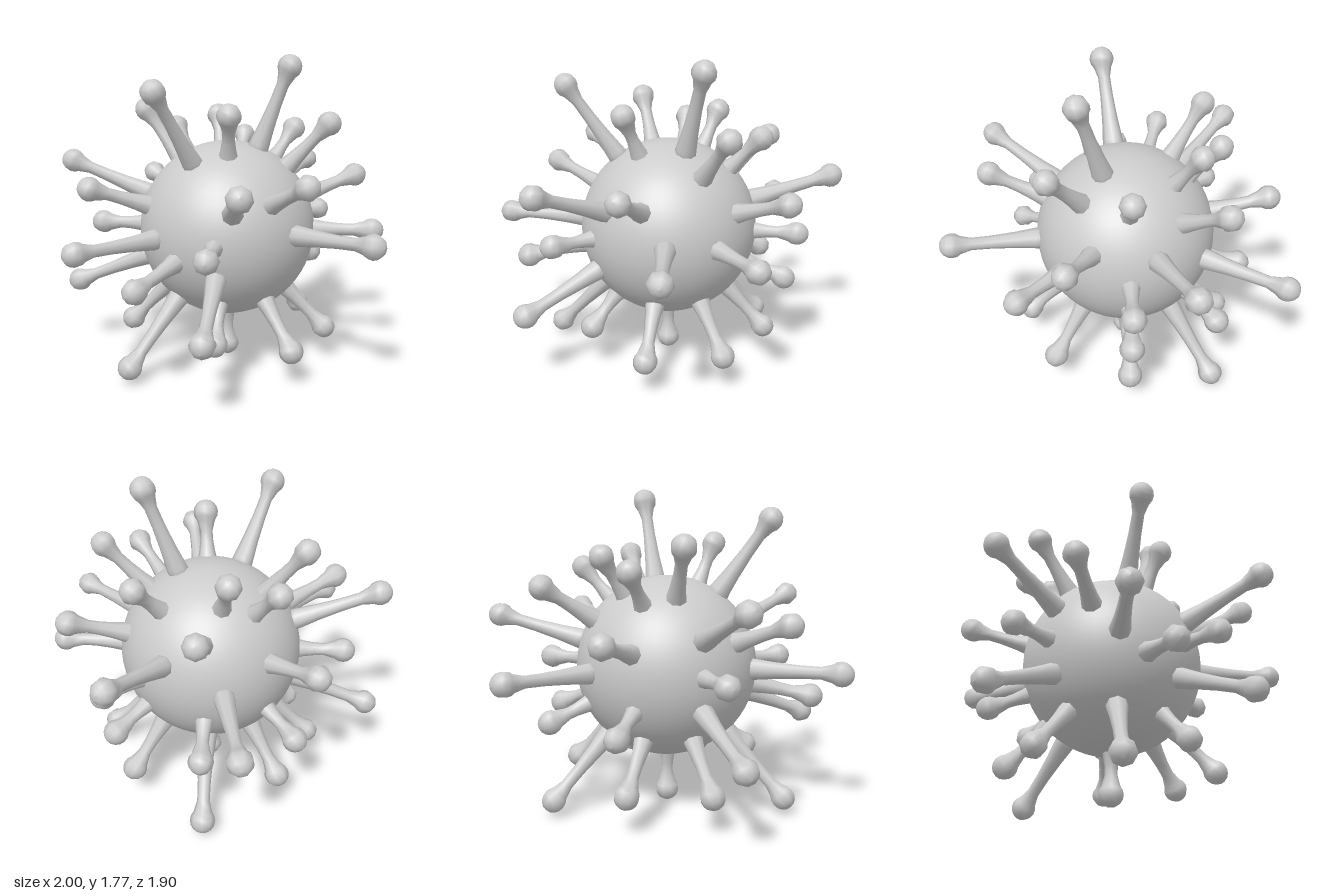
import * as THREE from 'three';

const CENTRE = new THREE.Vector3(0.04, 0.8, -0.07);
const RADIUS = 0.5;

// Bulb centres of the spikes, as offsets from the middle of the body
const TIPS = [
  // upper
  [-0.555, 0.8, 0.11], [0.235, 0.913, 0.255], [-0.26, 0.66, -0.435], [-0.19, 0.67, 0.26],
  [0, 0.535, -0.505], [0.215, 0.605, -0.37], [0.395, 0.605, 0.41], [0.51, 0.535, 0],
  [0.51, 0.45, -0.475], [0.70, 0.275, 0.33], [0.89, 0.275, -0.28], [-0.64, 0.37, -0.635],
  [-0.51, 0.355, 0.75], [-0.75, 0.275, -0.24], [-0.08, 0.355, 0.745], [0.01, 0.21, -0.795],
  // around the middle
  [0.175, 0.06, 0.955], [-0.97, 0.005, 0], [-0.52, 0.005, 0.505], [0.58, 0.005, 0.585],
  [0.73, 0.005, 0], [0.535, 0, -0.81], [-0.515, 0.005, -0.53],
];
const LOWER_TIPS = [
  [-0.77, -0.17, 0.24], [-0.64, -0.355, 0.635], [-0.635, -0.36, -0.635], [0.67, -0.267, 0],
  [0.48, -0.267, -0.47], [0, -0.262, -0.67],
  [-0.675, -0.695, 0], [-0.405, -0.59, -0.405], [-0.36, -0.52, 0.36], [0, -0.585, 0.565],
  [0.395, -0.585, 0.41], [0.565, -0.585, 0], [0.47, -0.695, -0.47], [0, -0.587, -0.56],
  [0, -0.72, 0],
];

// Flared stalk ending in a round bulb, turned around the y axis
function spikeGeometry(length) {
  const start = 0.43, neck = length - 0.105, bulb = 0.068;
  const points = [new THREE.Vector2(0, start)];
  for (const [t, r] of [[0, 0.066], [0.2, 0.057], [0.45, 0.045], [0.75, 0.036], [1, 0.034]]) {
    points.push(new THREE.Vector2(r, start + (neck - start) * t));
  }
  for (let i = 0; i <= 6; i++) {
    const a = -0.75 + (Math.PI / 2 + 0.75) * (i / 6);
    points.push(new THREE.Vector2(Math.max(0, bulb * Math.cos(a)), length + bulb * Math.sin(a)));
  }
  return new THREE.LatheGeometry(points, 8);
}

export function createModel() {
  const model = new THREE.Group();
  model.name = 'spikedBall';
  const material = new THREE.MeshStandardMaterial({ color: 0xcccccc });

  // Round body
  const body = new THREE.Mesh(new THREE.SphereGeometry(RADIUS, 48, 32), material);
  body.name = 'body';
  body.position.copy(CENTRE);
  model.add(body);

  // Spikes pointing straight out from the middle of the body
  const spikes = new THREE.Group();
  spikes.name = 'spikes';
  spikes.position.copy(CENTRE);
  const up = new THREE.Vector3(0, 1, 0);
  for (const tip of [...TIPS, ...LOWER_TIPS]) {
    const direction = new THREE.Vector3(...tip);
    const length = direction.length();
    const spike = new THREE.Mesh(spikeGeometry(length), material);
    spike.name = 'spike';
    spike.quaternion.setFromUnitVectors(up, direction.normalize());
    spikes.add(spike);
  }
  model.add(spikes);
  return model;
}
